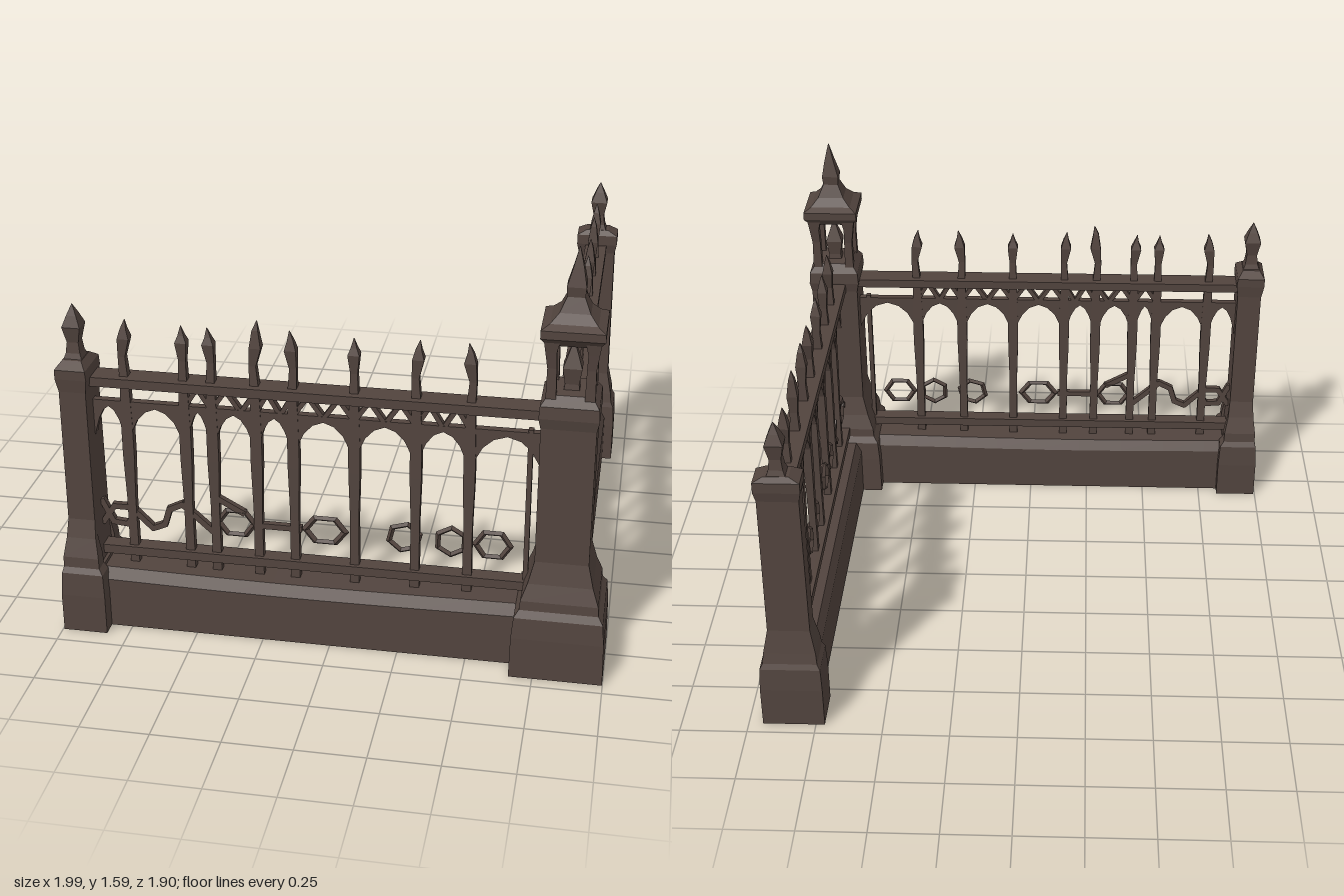
import * as THREE from 'three';

const stone = new THREE.MeshStandardMaterial({ color: 0x52443e, flatShading: true });
stone.name = 'dark brown stone';

function add(parent, geo, name) {
  const m = new THREE.Mesh(geo, stone);
  m.name = name;
  parent.add(m);
  return m;
}

// Rectangular loft through sections [y, x0, x1, z0, z1]
function loft(secs) {
  const rings = secs.map(([y, a, b, c, d]) => [[a, y, d], [b, y, d], [b, y, c], [a, y, c]]);
  const pos = [];
  const quad = (p, q, r, s) => pos.push(...p, ...q, ...r, ...p, ...r, ...s);
  for (let k = 0; k + 1 < rings.length; k++)
    for (let i = 0; i < 4; i++) {
      const j = (i + 1) % 4;
      quad(rings[k][i], rings[k][j], rings[k + 1][j], rings[k + 1][i]);
    }
  quad(...rings[rings.length - 1]);
  quad(...[...rings[0]].reverse());
  const g = new THREE.BufferGeometry();
  g.setAttribute('position', new THREE.Float32BufferAttribute(pos, 3));
  g.computeVertexNormals();
  return g;
}

// Centred loft through [y, halfX, halfZ, shiftX]
const tower = (cx, cz, secs) => loft(secs.map(([y, hx, hz = hx, s = 0]) =>
  [y, cx + s - hx, cx + s + hx, cz - hz, cz + hz]));

const box = (x0, x1, y0, y1, d) =>
  new THREE.BoxGeometry(x1 - x0, y1 - y0, d).translate((x0 + x1) / 2, (y0 + y1) / 2, 0);

// Flat strut between two points of a panel
function strut(parent, a, b, w, d, name) {
  const dx = b[0] - a[0], dy = b[1] - a[1];
  const m = add(parent, new THREE.BoxGeometry(Math.hypot(dx, dy) + w * 0.5, w, d), name);
  m.position.set((a[0] + b[0]) / 2, (a[1] + b[1]) / 2, 0);
  m.rotation.z = Math.atan2(dy, dx);
}

// Low wall with a sloped, slightly uneven top
function plinth(u0, u1, w) {
  const g = new THREE.BoxGeometry(u1 - u0, 2, w, 9, 2, 1).translate((u0 + u1) / 2, 1, 0);
  const p = g.attributes.position;
  for (let i = 0; i < p.count; i++) {
    const row = Math.round(p.getY(i)), wob = Math.sin(p.getX(i) * 37) * 0.006;
    p.setY(i, [0, 0.195 + wob, 0.235 + wob][row]);
    if (row === 2) p.setZ(i, p.getZ(i) * 0.72);
  }
  g.computeVertexNormals();
  return g;
}

// Spandrel plate with an arched opening
function arch(a, b) {
  const m = (a + b) / 2, s = new THREE.Shape();
  s.moveTo(a, 0.7);
  s.quadraticCurveTo(a + 0.025, 0.86, m, 0.872);
  s.quadraticCurveTo(b - 0.025, 0.86, b, 0.7);
  s.lineTo(b, 0.895);
  s.lineTo(a, 0.895);
  return new THREE.ExtrudeGeometry(s, { depth: 0.028, bevelEnabled: false, curveSegments: 4 })
    .translate(0, 0, -0.014);
}

function panel(o) {
  const g = new THREE.Group();
  g.name = o.name;
  add(g, plinth(o.wall[0], o.wall[1], o.wallW), 'plinthWall');
  const [u0, u1] = o.span;
  add(g, box(u0, u1, 0.96, 0.995, 0.088), 'topRail');
  add(g, box(u0, u1, 0.27, 0.305, 0.06), 'bottomRail');

  // Upright bars and their spear tips
  o.bars.forEach(([u, top], i) => {
    const lean = 0.006 * Math.sin(i * 2.3 + 1);
    add(g, tower(u, 0, [[0.21, 0.017, 0.015], [0.5, 0.016, 0.014], [0.68, 0.021, 0.016],
      [0.8, 0.021, 0.016], [0.97, 0.016, 0.015]]), 'bar');
    add(g, tower(u, 0, [[0.98, 0.016, 0.018], [1.07, 0.013, 0.014, -lean], [1.14, 0.021, 0.02, lean],
      [top - 0.035, 0.011, 0.011, lean], [top, 0.001, 0.001, lean * 2]]), 'spearTip');
  });

  // Arches between the bars, with a zigzag lattice above
  const stops = [u0, ...o.bars.map((b) => b[0]), u1];
  for (let i = 0; i + 1 < stops.length; i++) {
    const a = stops[i], b = stops[i + 1];
    add(g, arch(a, b), 'arch');
    if (o.bare.includes(i)) continue;
    const n = Math.max(2, Math.round((b - a) / 0.05)), du = (b - a) / n;
    for (let k = 0; k < n; k++) {
      const y = k % 2 ? [0.965, 0.885] : [0.885, 0.965];
      strut(g, [a + k * du, y[0]], [a + (k + 1) * du, y[1]], 0.017, 0.026, 'lattice');
    }
  }

  // Ornamental rings and broken links
  for (const [u, r, tilt] of o.rings) {
    const ring = add(g, new THREE.TorusGeometry(0.06, 0.012, 4, 6).rotateZ(tilt), 'ring');
    ring.scale.set(r / 0.072, 0.92, 1);
    ring.position.set(u, 0.43, 0);
  }
  for (const line of o.links)
    for (let i = 0; i + 1 < line.length; i++) strut(g, line[i], line[i + 1], 0.022, 0.022, 'brokenLink');
  return g;
}

function cornerPillar() {
  const g = new THREE.Group(), cx = 0.832, cz = 0.785;
  g.name = 'cornerPillar';
  add(g, tower(cx, cz, [[0, 0.167], [0.16, 0.164], [0.24, 0.157], [0.265, 0.14], [0.3, 0.137],
    [0.36, 0.115], [0.44, 0.095]]), 'pillarBase');
  add(g, tower(cx, cz, [[0.44, 0.095], [0.96, 0.095], [1.0, 0.103], [1.045, 0.1], [1.08, 0.075]]), 'pillarShaft');
  // Open lantern: four flared posts around a small finial
  for (const sx of [-1, 1])
    for (const sz of [-1, 1])
      add(g, loft([[1.05, 0.066, 0.018], [1.18, 0.066, 0.016], [1.24, 0.071, 0.019], [1.29, 0.069, 0.028]]
        .map(([y, c, h]) => [y, cx + sx * c - h, cx + sx * c + h, cz + sz * c - h, cz + sz * c + h])), 'lanternPost');
  add(g, tower(cx, cz, [[1.06, 0.03], [1.1, 0.024], [1.16, 0.033], [1.25, 0.002]]), 'lanternFinial');
  add(g, tower(cx, cz, [[1.265, 0.085], [1.295, 0.108], [1.325, 0.108], [1.34, 0.08], [1.37, 0.052],
    [1.42, 0.03], [1.455, 0.033], [1.52, 0.018, 0.018, 0.003], [1.59, 0.001, 0.001, 0.003]]), 'lanternRoof');
  return g;
}

// Spear that crowns an end post
const postSpear = (x, z) => tower(x, z, [[1.04, 0.04], [1.08, 0.026], [1.12, 0.021],
  [1.18, 0.033], [1.22, 0.018], [1.26, 0.001]]);

function leftPost() {
  const g = new THREE.Group();
  g.name = 'leftEndPost';
  add(g, loft([[0.2, -0.975, -0.86, 0.7, 0.87], [0.45, -0.97, -0.87, 0.705, 0.865], [0.95, -0.97, -0.872, 0.71, 0.86],
    [1.0, -0.98, -0.865, 0.705, 0.865], [1.035, -0.98, -0.868, 0.705, 0.865], [1.06, -0.96, -0.89, 0.74, 0.83]]), 'postShaft');
  // Two flanges leave the outer end of the base open
  for (const s of [-1, 1])
    add(g, loft([[0, 0.145, -0.995, -0.83], [0.15, 0.145, -0.995, -0.83], [0.24, 0.138, -0.99, -0.835],
      [0.26, 0.125, -0.985, -0.85], [0.3, 0.122, -0.985, -0.852], [0.37, 0.098, -0.975, -0.865], [0.44, 0.08, -0.97, -0.87]]
      .map(([y, o, a, b]) => {
        const z = [0.785 + s * o, 0.785 + s * 0.07].sort();
        return [y, a, b, z[0], z[1]];
      })), 'postBaseFlange');
  add(g, loft([[0, -0.93, -0.83, 0.7, 0.87], [0.25, -0.95, -0.85, 0.7, 0.87]]), 'postBaseCore');
  add(g, postSpear(-0.925, 0.785), 'postSpear');
  return g;
}

function backPost() {
  const g = new THREE.Group(), x = 0.832;
  g.name = 'backEndPost';
  const sec = (y, h, a, b) => [y, x - h, x + h, a, b];
  add(g, loft([sec(0, 0.115, -0.952, -0.79), sec(0.16, 0.115, -0.952, -0.79), sec(0.25, 0.111, -0.945, -0.795),
    sec(0.27, 0.1, -0.935, -0.8), sec(0.31, 0.096, -0.925, -0.805), sec(0.4, 0.078, -0.905, -0.82)]), 'postBase');
  add(g, loft([sec(0.4, 0.078, -0.905, -0.82), sec(0.96, 0.075, -0.9, -0.82), sec(1.0, 0.083, -0.908, -0.81),
    sec(1.04, 0.083, -0.908, -0.81), sec(1.06, 0.045, -0.895, -0.825)]), 'postShaft');
  add(g, postSpear(x, -0.86), 'postSpear');
  return g;
}

export function createModel() {
  const model = new THREE.Group();
  model.name = 'cornerFence';

  const front = panel({
    name: 'frontPanel', wall: [-0.95, 0.7], wallW: 0.19, span: [-0.88, 0.75],
    bars: [[-0.75, 1.21], [-0.535, 1.2], [-0.435, 1.2], [-0.275, 1.24], [-0.14, 1.21], [0.08, 1.2], [0.3, 1.21], [0.49, 1.21]],
    bare: [0, 1, 8],
    rings: [[-0.36, 0.08, 0], [-0.03, 0.088, 0], [0.26, 0.07, 0.3], [0.43, 0.066, 0.5], [0.58, 0.075, 0]],
    links: [[[-0.865, 0.48], [-0.825, 0.395], [-0.77, 0.39], [-0.735, 0.44], [-0.675, 0.38], [-0.63, 0.4],
      [-0.61, 0.465], [-0.56, 0.49], [-0.51, 0.445], [-0.45, 0.39]],
    [[-0.865, 0.39], [-0.82, 0.46], [-0.76, 0.46]],
    [[-0.43, 0.53], [-0.33, 0.475]], [[-0.28, 0.43], [-0.12, 0.43]]],
  });
  strut(front, [0.7, 0.3], [0.7, 0.9], 0.018, 0.025, 'thinBar');
  front.position.z = 0.775;

  const side = panel({
    name: 'sidePanel', wall: [-0.65, 0.86], wallW: 0.16, span: [-0.71, 0.83],
    bars: [[-0.514, 1.22], [-0.34, 1.21], [-0.14, 1.21], [0.085, 1.22], [0.26, 1.23], [0.475, 1.24], [0.69, 1.22]],
    bare: [],
    rings: [[-0.59, 0.075, 0], [-0.22, 0.068, 0.5], [-0.07, 0.062, 0.5], [0.21, 0.068, 0.5], [0.385, 0.062, 0.5], [0.61, 0.075, 0], [0.73, 0.068, 0.4]],
    links: [[[-0.42, 0.48], [-0.37, 0.43], [-0.42, 0.38]], [[-0.7, 0.39], [-0.65, 0.43]]],
  });
  side.rotation.y = Math.PI / 2;
  side.position.x = 0.828;

  model.add(front, side, cornerPillar(), leftPost(), backPost());
  return model;
}
